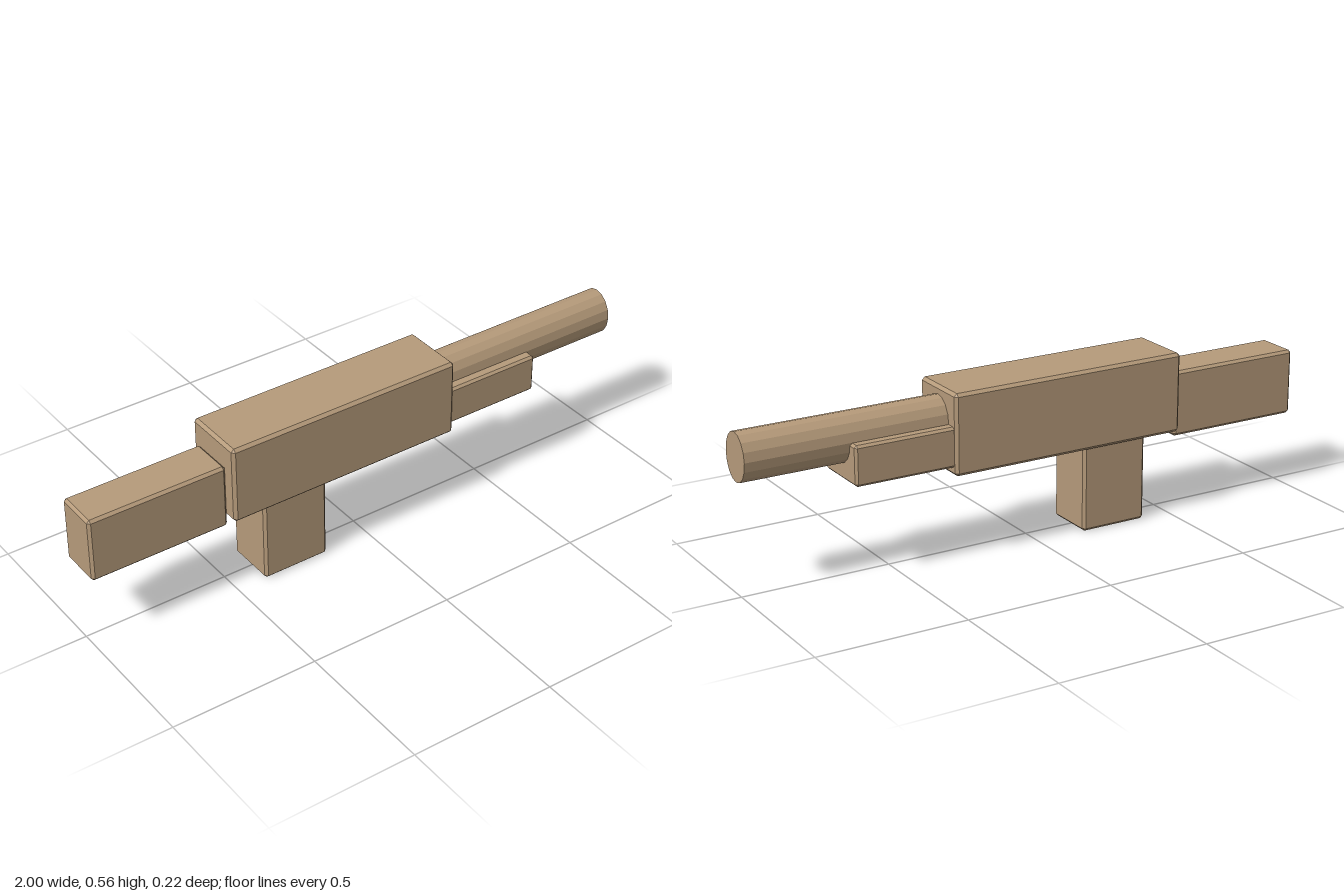
import * as THREE from 'three';
import { ConvexGeometry } from 'three/addons/geometries/ConvexGeometry.js';

const tan = new THREE.MeshStandardMaterial({ color: 0xb59a7a });
tan.name = 'tan';

// Box with every edge chamfered, given by its x and y ranges and half depth
function chamferBox(name, x0, x1, y0, y1, halfZ, c = 0.009) {
  const hx = (x1 - x0) / 2, hy = (y1 - y0) / 2;
  const points = [];
  for (const sx of [-1, 1]) for (const sy of [-1, 1]) for (const sz of [-1, 1]) {
    points.push(
      new THREE.Vector3(sx * hx, sy * (hy - c), sz * (halfZ - c)),
      new THREE.Vector3(sx * (hx - c), sy * hy, sz * (halfZ - c)),
      new THREE.Vector3(sx * (hx - c), sy * (hy - c), sz * halfZ)
    );
  }
  const mesh = new THREE.Mesh(new ConvexGeometry(points), tan);
  mesh.name = name;
  mesh.position.set((x0 + x1) / 2, (y0 + y1) / 2, 0);
  return mesh;
}

export function createModel() {
  const model = new THREE.Group();
  model.name = 'blockyLauncher';

  // Main blocks
  model.add(
    chamferBox('stock', -1, -0.523, 0.258, 0.48, 0.075),
    chamferBox('body', -0.52, 0.316, 0.287, 0.555, 0.111, 0.01),
    chamferBox('grip', -0.4, -0.166, 0, 0.3, 0.088),
    chamferBox('handguard', 0.305, 0.655, 0.315, 0.447, 0.1, 0.008)
  );

  // Faceted barrel, slightly taller than wide
  const barrelGeometry = new THREE.CylinderGeometry(1, 1, 0.7, 16).toNonIndexed();
  barrelGeometry.rotateZ(-Math.PI / 2);
  barrelGeometry.scale(1, 0.08, 0.066);
  barrelGeometry.computeVertexNormals();
  const barrel = new THREE.Mesh(barrelGeometry, tan);
  barrel.name = 'barrel';
  barrel.position.set(0.65, 0.448, 0);
  model.add(barrel);

  return model;
}
